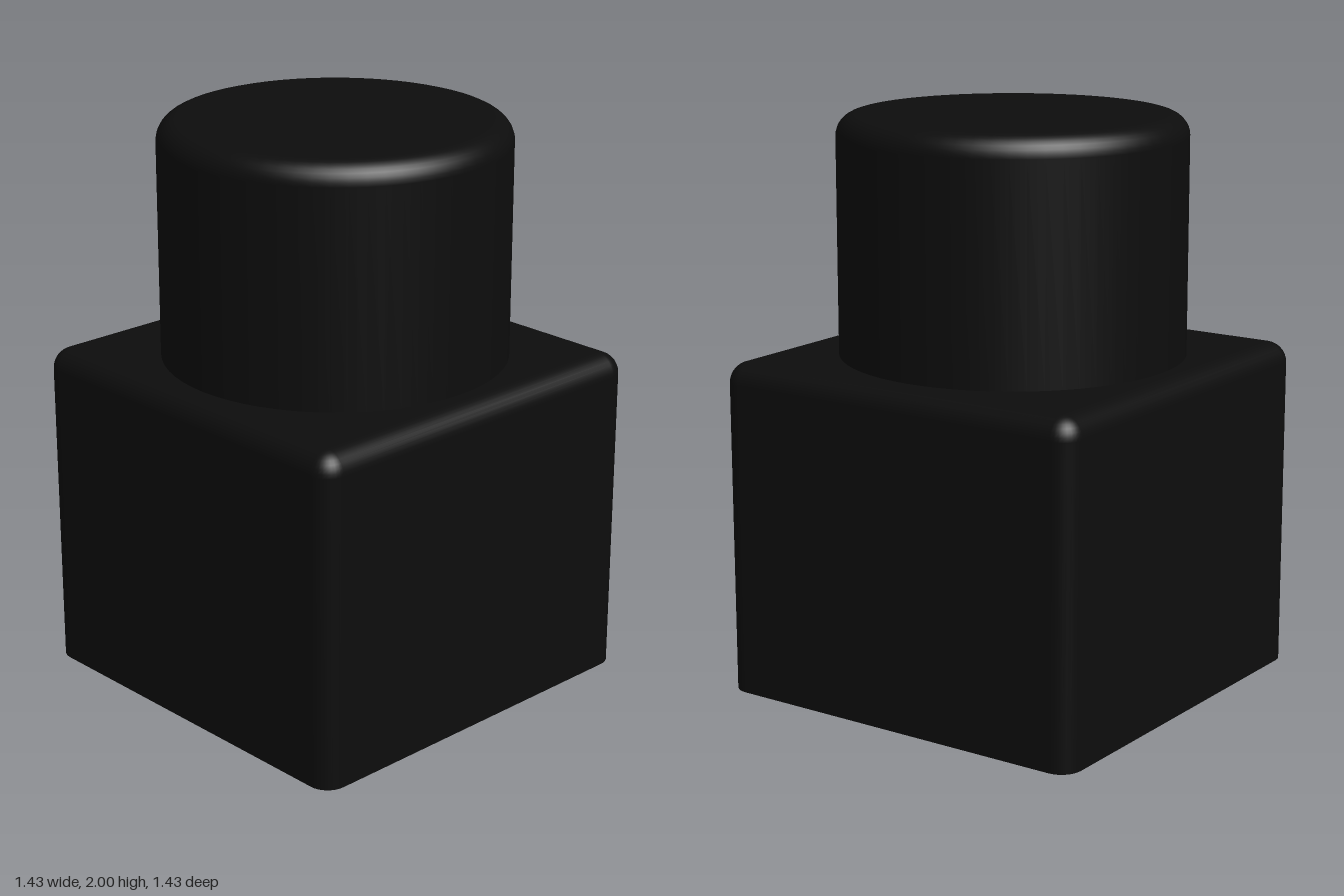
import * as THREE from 'three';

const BLACK = new THREE.MeshStandardMaterial({ color: 0x0d0d0d });
BLACK.name = 'black';

// Square block with rounded upright and top edges and a sharp, flat bottom
function roundedBlock(half, height, radius, steps = 8) {
  const pos = [], nor = [], idx = [];
  const addRing = (y, tilt, down) => {
    for (let corner = 0; corner < 4; corner++) {
      const mid = (corner + 0.5) * Math.PI / 2;
      const cx = Math.sign(Math.cos(mid)) * (half - radius);
      const cz = Math.sign(Math.sin(mid)) * (half - radius);
      for (let s = 0; s <= steps; s++) {
        const t = (corner + s / steps) * Math.PI / 2;
        const nx = Math.cos(t) * Math.cos(tilt), nz = Math.sin(t) * Math.cos(tilt);
        pos.push(cx + radius * nx, y, cz + radius * nz);
        nor.push(...(down ? [0, -1, 0] : [nx, Math.sin(tilt), nz]));
      }
    }
  };
  const n = 4 * (steps + 1);

  // Upright wall, then the rounded shoulder
  addRing(0, 0);
  for (let i = 0; i <= steps; i++) {
    const tilt = i / steps * Math.PI / 2;
    addRing(height - radius + radius * Math.sin(tilt), tilt);
  }
  for (let i = 0; i <= steps; i++) {
    for (let j = 0; j < n; j++) {
      const a = i * n + j, b = i * n + (j + 1) % n;
      idx.push(a, a + n, b, b, a + n, b + n);
    }
  }

  // Flat top and bottom
  const top = (steps + 1) * n, bottom = top + n;
  addRing(0, 0, true);
  pos.push(0, height, 0, 0, 0, 0);
  nor.push(0, 1, 0, 0, -1, 0);
  const topCentre = bottom + n, bottomCentre = topCentre + 1;
  for (let j = 0; j < n; j++) {
    const k = (j + 1) % n;
    idx.push(topCentre, top + k, top + j, bottomCentre, bottom + j, bottom + k);
  }

  const geometry = new THREE.BufferGeometry();
  geometry.setAttribute('position', new THREE.Float32BufferAttribute(pos, 3));
  geometry.setAttribute('normal', new THREE.Float32BufferAttribute(nor, 3));
  geometry.setIndex(idx);
  return geometry;
}

// Round cap with a softened top edge
function roundedCap(radius, bottom, top, bevel, steps = 8) {
  const profile = [new THREE.Vector2(radius, bottom)];
  for (let i = 0; i <= steps; i++) {
    const a = i / steps * Math.PI / 2;
    profile.push(new THREE.Vector2(radius - bevel + bevel * Math.cos(a), top - bevel + bevel * Math.sin(a)));
  }
  profile.push(new THREE.Vector2(0, top));
  return new THREE.LatheGeometry(profile, 64);
}

export function createModel() {
  const model = new THREE.Group();
  model.name = 'bottle';

  const body = new THREE.Mesh(roundedBlock(0.713, 1.172, 0.075), BLACK);
  body.name = 'squareBody';

  const cap = new THREE.Mesh(roundedCap(0.6, 1.16, 2, 0.075), BLACK);
  cap.name = 'roundCap';

  model.add(body, cap);
  return model;
}
